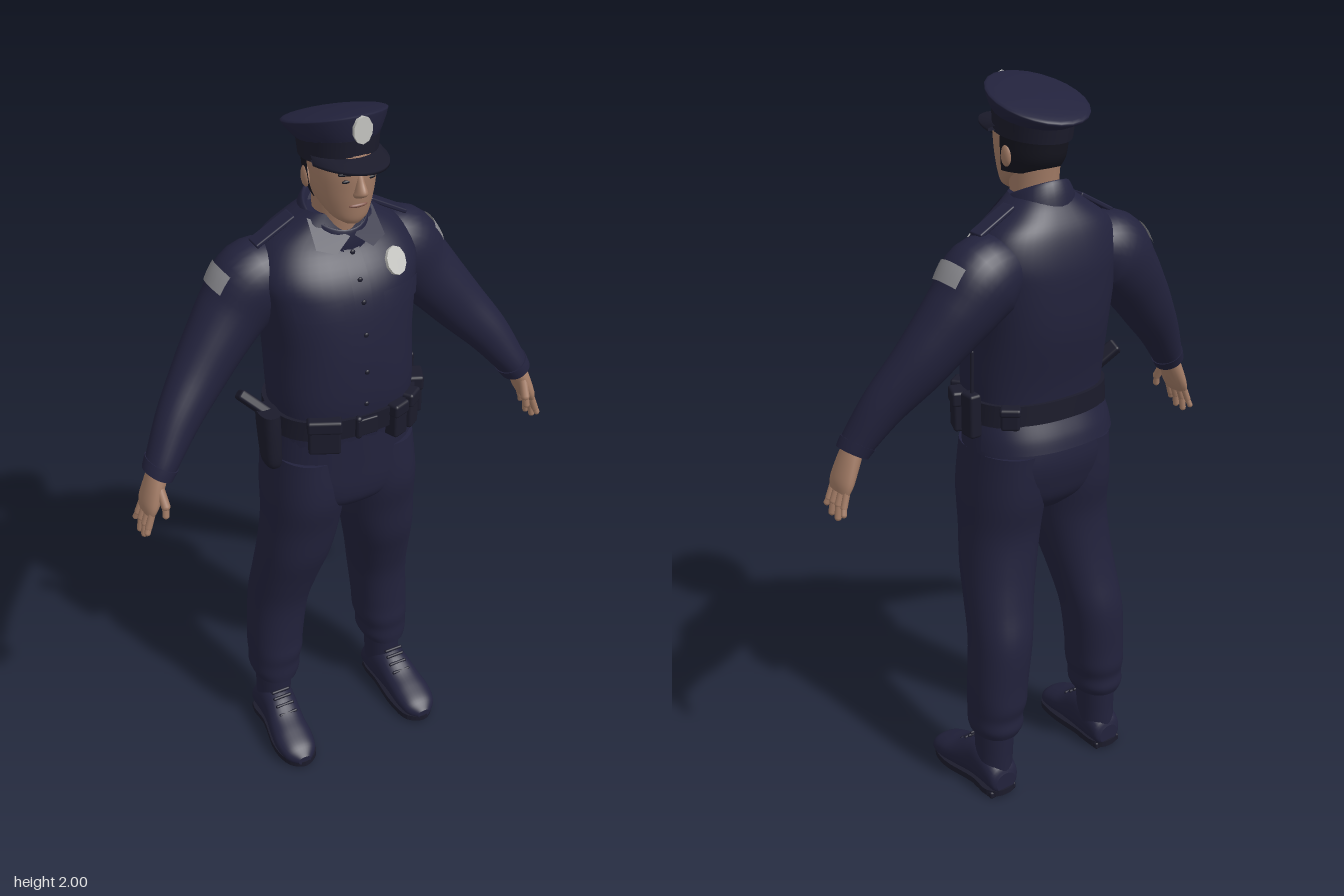
import * as THREE from 'three';
import { RoundedBoxGeometry } from 'three/addons/geometries/RoundedBoxGeometry.js';

const paint = (name, color) => new THREE.MeshStandardMaterial({ name, color, side: THREE.DoubleSide });
const V = (x, y, z) => new THREE.Vector3(x, y, z);
const PI = Math.PI;

// Catmull-Rom value of a table of rows at a fractional row number
function rowAt(rows, t) {
  const i = Math.min(Math.floor(t), rows.length - 2), f = t - i;
  const r = k => rows[Math.max(0, Math.min(rows.length - 1, k))];
  return [0, 1, 2, 3, 4, 5].map(j => {
    const [a, b, c, d] = [i - 1, i, i + 1, i + 2].map(k => r(k)[j] || 0);
    return b + 0.5 * f * (c - a + f * (2 * a - 5 * b + 4 * c - d + f * (3 * (b - c) + d - a)));
  });
}

// Skin over oval rows [x, y, z, radius1, radius2, slope]; axis: 'y' level, 'z' upright, 'arm' across the path
function loft(rows, { axis = 'y', p = 1, seg = 32, sub = 5, arc, t, grow = 0 } = {}) {
  const [t0, t1] = t || [0, rows.length - 1], [a0, a1] = arc || [0, 2 * PI];
  const n = Math.max(1, Math.ceil((t1 - t0) * sub)), w = seg + 1;
  const pow = c => Math.sign(c) * Math.abs(c) ** p;
  const pos = [], idx = [], centres = [];
  let turn = 0;
  for (let i = 0; i <= n; i++) {
    const k = t0 + (t1 - t0) * i / n, r = rowAt(rows, k), c = V(r[0], r[1], r[2]);
    const q = rowAt(rows, Math.min(k + 0.05, rows.length - 1)), o = rowAt(rows, Math.max(k - 0.05, 0));
    const d = V(q[0] - o[0], q[1] - o[1], q[2] - o[2]);
    let u = V(1, 0, 0), v = axis === 'z' ? V(0, 1, 0) : V(0, r[5], 1);
    if (axis === 'arm') u = V(-d.y, d.x, 0).normalize().multiplyScalar(Math.sign(d.x) || 1);
    turn += u.clone().cross(v).dot(d);
    for (let j = 0; j < w; j++) {
      const a = a0 + (a1 - a0) * j / seg;
      pos.push(...c.clone().addScaledVector(u, (r[3] + grow) * pow(Math.cos(a)))
        .addScaledVector(v, (r[4] + grow) * pow(Math.sin(a))).toArray());
    }
    centres.push(c);
  }
  const tri = (a, b, c) => (turn > 0 ? idx.push(a, b, c) : idx.push(a, c, b));
  const step = j => (!arc && j === seg - 1 ? 0 : j + 1);
  for (let i = 0; i < n; i++) for (let j = 0; j < seg; j++) {
    const a = i * w + j, b = i * w + step(j);
    tri(a, b, a + w); tri(b, b + w, a + w);
  }
  // Flat ends on closed shapes
  if (!arc) for (const i of [0, n]) {
    const base = pos.length / 3;
    for (let j = 0; j < seg; j++) pos.push(...pos.slice((i * w + j) * 3, (i * w + j) * 3 + 3));
    pos.push(...centres[i].toArray());
    for (let j = 0; j < seg; j++) {
      const a = base + j, b = base + (j + 1) % seg;
      i ? tri(a, b, base + seg) : tri(b, a, base + seg);
    }
  }
  const g = new THREE.BufferGeometry();
  g.setAttribute('position', new THREE.Float32BufferAttribute(pos, 3));
  g.setIndex(idx);
  g.computeVertexNormals();
  return g;
}

export function createModel() {
  const root = new THREE.Group();
  root.name = 'officer';
  const cloth = paint('uniformNavy', 0x22223c), leather = paint('darkLeather', 0x1b1b2b);
  const skin = paint('skin', 0xa37c66), hairMat = paint('hair', 0x15151f), lip = paint('lips', 0x84594d);
  const silver = paint('silver', 0xc4c4c0), grey = paint('patchGrey', 0x85858a);
  const add = (name, geo, mat, x = 0, y = 0, z = 0, rx = 0, ry = 0, rz = 0) => {
    const m = new THREE.Mesh(geo, mat);
    m.name = name; m.position.set(x, y, z); m.rotation.set(rx, ry, rz);
    root.add(m);
    return m;
  };
  const bar = (name, a, b, r, mat) => {
    const d = b.clone().sub(a), m = add(name, new THREE.CapsuleGeometry(r, d.length(), 4, 10), mat);
    m.position.copy(a).addScaledVector(d, 0.5);
    m.quaternion.setFromUnitVectors(V(0, 1, 0), d.normalize());
    return m;
  };
  const box = (w, h, d, r = 0.008) => new RoundedBoxGeometry(w, h, d, 2, r);
  const blob = (name, mat, r, sx, sy, sz, x, y, z) =>
    add(name, new THREE.SphereGeometry(r, 16, 12), mat, x, y, z).scale.set(sx, sy, sz);

  // Shirt
  const torso = [[0, 1.1, 0, .195, .143], [0, 1.17, .005, .193, .145], [0, 1.25, .004, .195, .154],
    [0, 1.38, -.01, .195, .165], [0, 1.5, -.02, .21, .16], [0, 1.57, -.03, .218, .145],
    [0, 1.64, -.045, .185, .112], [0, 1.69, -.04, .12, .088], [0, 1.72, -.03, .08, .07]];
  add('shirt', loft(torso, { p: .82, seg: 48 }), cloth);
  const panel = (name, t, arc, grow) => add(name, loft(torso, { p: .82, seg: 12, sub: 10, t, arc, grow }), cloth);
  panel('placket', [1, 6.5], [PI / 2 - .07, PI / 2 + .07], .004);
  for (const arc of [[.72, 1.38], [PI - 1.38, PI - .72]]) {
    panel('pocket', [3.1, 4.1], arc, .003);
    panel('pocketFlap', [3.85, 4.4], arc, .008);
  }
  for (let t = 1.8; t < 6; t += .8) {
    const r = rowAt(torso, t);
    blob('button', leather, .007, 1, 1, .6, 0, r[1], r[2] + r[4] + .004);
  }

  // Collar
  add('collar', loft([[0, 1.65, -.025, .105, .1, -.3], [0, 1.69, -.02, .094, .095, -.42],
    [0, 1.722, -.015, .078, .084, -.45], [0, 1.7, -.015, .066, .075, -.45]]), cloth);
  for (const s of [1, -1]) {
    const g = new THREE.BufferGeometry();
    const pts = [[.006, 1.672, .078], [.05, 1.638, .092], [.095, 1.65, .07], [.09, 1.71, .01]];
    g.setAttribute('position', new THREE.Float32BufferAttribute(pts.flatMap(q => [q[0] * s, q[1], q[2]]), 3));
    g.setIndex(s > 0 ? [0, 1, 2, 0, 2, 3] : [0, 2, 1, 0, 3, 2]);
    g.computeVertexNormals();
    add('collarPoint', g, cloth);
  }

  // Hips and rear flap below the belt
  add('hips', loft([[0, .86, 0, .07, .09], [0, .9, 0, .17, .13], [0, .95, -.004, .205, .146],
    [0, 1.03, -.01, .207, .154], [0, 1.15, 0, .195, .145]], { p: .85 }), cloth);
  add('rearFlap', loft([[0, 1.14, -.005, .2, .15], [0, 1.1, -.01, .208, .162], [0, 1.065, -.012, .213, .169]],
    { p: .85, arc: [1.06 * PI, 1.94 * PI] }), cloth);

  // Limbs
  const legRows = [[.185, .2, -.062, .062, .078], [.183, .225, -.066, .072, .084], [.182, .26, -.065, .073, .083],
    [.178, .3, -.067, .078, .09], [.175, .36, -.068, .08, .089], [.163, .49, -.065, .084, .095],
    [.148, .6, -.039, .092, .1], [.132, .7, -.015, .1, .11], [.117, .81, -.003, .106, .118],
    [.111, .92, -.002, .107, .14], [.105, 1.05, -.008, .1, .14]];
  const armRows = [[.12, 1.56, -.06, .08, .085], [.2, 1.535, -.062, .112, .1], [.265, 1.47, -.06, .096, .09],
    [.325, 1.4, -.045, .084, .08], [.385, 1.327, -.025, .074, .07], [.458, 1.24, .008, .06, .058],
    [.515, 1.155, .036, .045, .05], [.537, 1.118, .045, .039, .045]];
  const palmRows = [[.53, 1.14, .044, .027, .032], [.55, 1.09, .048, .025, .042],
    [.568, 1.045, .05, .021, .048], [.577, 1.02, .05, .014, .043]];
  const footRows = [[.192, .045, -.127, .032, .03], [.192, .058, -.112, .048, .047], [.192, .08, -.05, .053, .07],
    [.195, .077, 0, .053, .066], [.202, .06, .06, .056, .048], [.205, .05, .11, .058, .038],
    [.205, .04, .155, .048, .028], [.205, .03, .182, .02, .014]];
  const solePts = [[-.05, -.1], [-.03, -.128], [.02, -.128], [.045, -.1], [.043, -.03], [.062, .09],
    [.045, .16], [.005, .185], [-.04, .16], [-.055, .09], [-.05, -.03]];
  for (const s of [1, -1]) {
    const flip = rows => rows.map(([x, ...rest]) => [x * s, ...rest]);
    add('trouserLeg', loft(flip(legRows), { p: .9 }), cloth);

    // Sleeve, shoulder patch and strap
    add('sleeve', loft(flip(armRows), { axis: 'arm' }), cloth);
    add('cuff', loft(flip(armRows), { axis: 'arm', t: [6.2, 7], grow: .003 }), cloth);
    add('shoulderPatch', loft(flip(armRows), { axis: 'arm', t: [1.32, 1.78], arc: [-.55, .55], grow: .004, seg: 14, sub: 12 }), grey);
    add('shoulderStrap', box(.12, .012, .048, .004), cloth, .158 * s, 1.672, -.045, 0, 0, -.5 * s);

    // Hand
    add('palm', loft(flip(palmRows), { axis: 'arm', seg: 20 }), skin);
    [[.084, .09, .972, .0095], [.062, .066, .954, .0105], [.039, .036, .95, .0105], [.017, .006, .968, .009]]
      .forEach(([z0, z1, y, r]) => {
        const knuckle = V(.588 * s, .99, (z0 + z1) / 2);
        bar('finger', V(.572 * s, 1.035, z0), knuckle, r, skin);
        bar('fingertip', knuckle, V(.593 * s, y + .005, z1), r * .9, skin);
      });
    bar('thumb', V(.546 * s, 1.095, .075), V(.542 * s, 1.05, .1), .012, skin);
    bar('thumbTip', V(.542 * s, 1.05, .1), V(.545 * s, 1.025, .104), .0095, skin);

    // Boot
    add('bootShaft', loft(flip([[.19, .06, -.065, .05, .06], [.188, .13, -.064, .05, .062], [.186, .23, -.064, .055, .067]])), cloth);
    add('bootFoot', loft(flip(footRows), { axis: 'z', p: .9 }), cloth);
    const outline = new THREE.CatmullRomCurve3(solePts.map(([x, z]) => V(x * s, z, 0)), true).getPoints(44);
    outline.pop();
    const sole = new THREE.ExtrudeGeometry(new THREE.Shape(outline.map(q => new THREE.Vector2(q.x, q.y))), { depth: .018, bevelEnabled: false });
    sole.rotateX(PI / 2);
    add('sole', sole, leather, .198 * s, .026, 0);
    add('heel', box(.09, .022, .09, .006), leather, .195 * s, .011, -.075);
    add('toeTread', box(.09, .014, .11, .006), leather, .202 * s, .008, .095);
    for (let i = 0; i < 4; i++) {
      const y = .155 - i * .016, z = [.001, .012, .03, .052][i];
      bar('lace', V(.17 * s, y, z), V(.22 * s, y, z), .005, leather);
    }
  }

  // Belt, pouches and gear
  add('belt', loft([[0, 1.135, .002, .208, .156], [0, 1.195, .005, .206, .158]], { p: .85, sub: 1, seg: 48 }), leather);
  add('buckle', box(.06, .05, .012, .004), leather, 0, 1.165, .165);
  for (const [a, w, h, y] of [[2.12, .085, .1, 1.155], [1.68, .018, .066, 1.165], [1.1, .048, .1, 1.15],
    [.8, .048, .105, 1.15], [.32, .06, .11, 1.15], [-.75, .05, .06, 1.165]]) {
    const x = .212 * Math.cos(a), z = .162 * Math.sin(a), ry = Math.atan2(Math.cos(a) / .21, Math.sin(a) / .16);
    const d = w < .03 ? .02 : .045;
    add('pouch', box(w, h, d), leather, x, y, z, 0, ry);
    if (d > .03) add('pouchFlap', box(w + .006, h * .38, d + .008), leather, x, y + h * .33, z, 0, ry);
  }
  add('holster', loft([[-.214, 1.035, .04, .018, .025], [-.218, 1.06, .04, .025, .034],
    [-.22, 1.14, .035, .027, .042], [-.22, 1.2, .03, .027, .045]], { p: .8, seg: 20 }), leather);
  add('pistolGrip', box(.028, .1, .042), leather, -.244, 1.21, -.002, -.5, 0, .75);
  add('radio', box(.035, .12, .05), leather, .222, 1.165, -.03);
  bar('antenna', V(.219, 1.22, -.03), V(.216, 1.335, -.03), .005, leather);

  // Head
  add('neck', loft([[0, 1.64, -.02, .064, .068], [0, 1.7, -.008, .06, .064], [0, 1.8, -.005, .064, .075]]), skin);
  const head = [[0, 1.712, .072, .022, .022], [0, 1.728, .058, .046, .045], [0, 1.76, .032, .066, .077],
    [0, 1.8, .016, .079, .098], [0, 1.85, .012, .084, .106], [0, 1.9, .004, .084, .108], [0, 1.935, 0, .07, .09]];
  add('head', loft(head), skin);
  add('hair', loft(head, { t: [2.3, 6], arc: [.99 * PI, 2.01 * PI], grow: .006 }), hairMat);
  add('nose', loft([[0, 1.788, .108, .012, .01], [0, 1.797, .115, .018, .02], [0, 1.808, .118, .015, .023],
    [0, 1.83, .114, .01, .014], [0, 1.85, .11, .008, .008]], { seg: 16 }), skin);
  blob('lips', lip, .025, 1, .24, .35, 0, 1.766, .105);
  for (const s of [1, -1]) {
    blob('ear', skin, .028, .35, 1, .65, .085 * s, 1.815, -.004);
    blob('eye', hairMat, .011, 1.1, .4, .4, .033 * s, 1.833, .108);
    add('eyebrow', box(.038, .007, .008, .003), hairMat, .034 * s, 1.851, .108, 0, .3 * s);
  }

  // Peaked cap
  add('capBand', loft([[0, 1.862, 0, .093, .113, .1], [0, 1.912, -.002, .098, .116, .18]], { sub: 2 }), leather);
  add('capCrown', loft([[0, 1.905, -.002, .095, .112, .18], [0, 1.92, -.008, .108, .124, .23], [0, 1.944, -.019, .123, .14, .3],
    [0, 1.955, -.02, .119, .134, .3], [0, 1.963, -.02, .06, .07, .3], [0, 1.965, -.02, .004, .004, .3]], { seg: 24, sub: 3 }), cloth);
  add('capPeak', loft([[0, 1.88, 0, .094, .108, .1], [0, 1.868, 0, .1, .184, .08], [0, 1.861, 0, .1, .184, .08],
    [0, 1.868, 0, .094, .108, .1]], { sub: 1, arc: [.1 * PI, .9 * PI] }), leather);

  // Silver badges
  const badge = (name, w, h, x, y, z, rx, ry) => {
    const g = new THREE.CylinderGeometry(1, 1, .009, 10).rotateX(PI / 2).scale(w, h, 1);
    add(name, g, silver, x, y, z, rx, ry);
  };
  badge('capBadge', .025, .034, 0, 1.962, .124, 0, 0);
  badge('chestBadge', .031, .037, .11, 1.587, .1, -.5, .25);
  return root;
}
